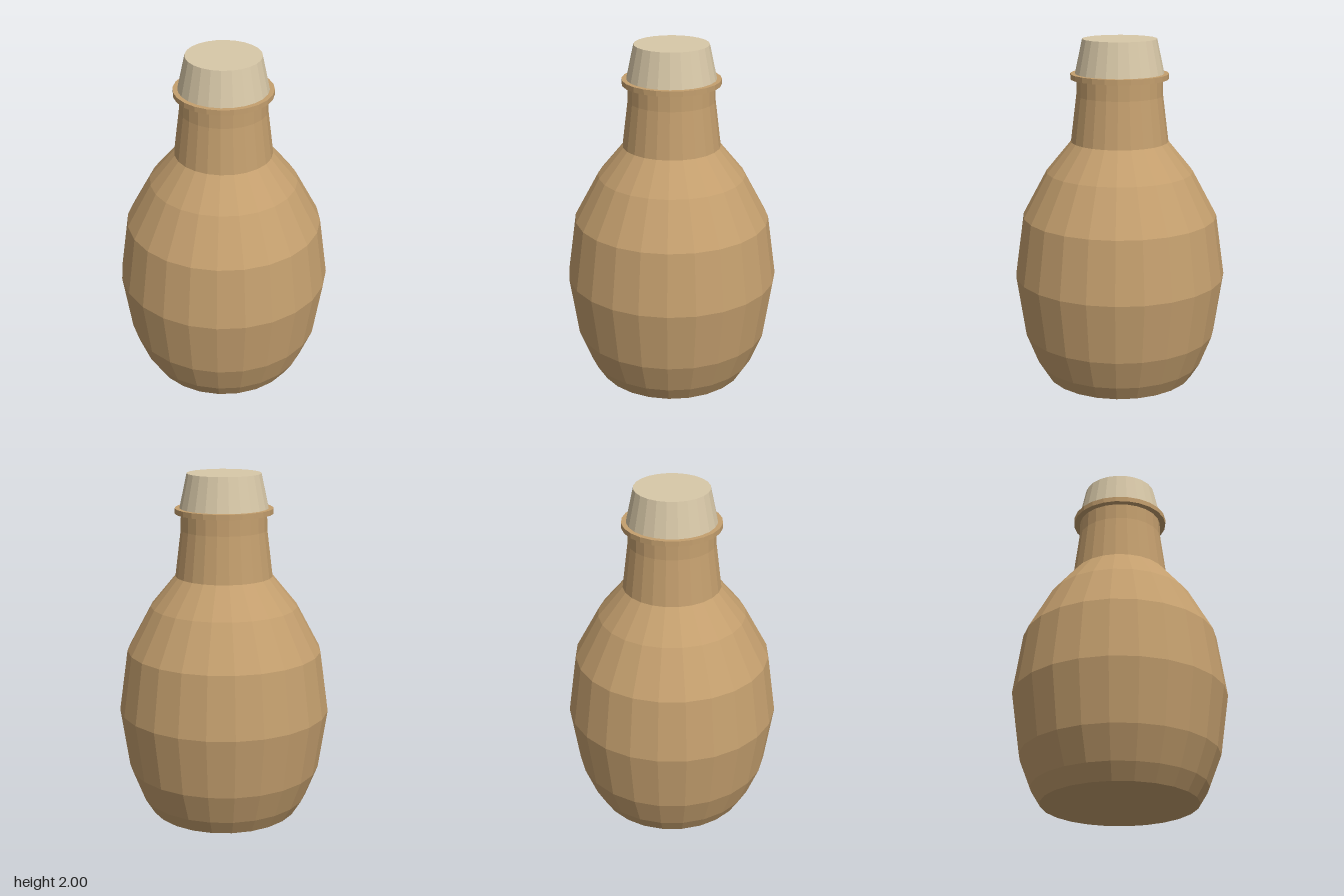
import * as THREE from 'three';

const SIDES = 24;

// Revolves a [radius, height] profile, listed from bottom to top
function turned(name, profile, color) {
  const points = profile.map(([r, y]) => new THREE.Vector2(r, y));
  const material = new THREE.MeshStandardMaterial({ color, flatShading: true });
  const mesh = new THREE.Mesh(new THREE.LatheGeometry(points, SIDES), material);
  mesh.name = name;
  return mesh;
}

export function createModel() {
  const group = new THREE.Group();
  group.name = 'bottle';
  const clay = 0xc49f6e;

  // Closed base, rounded belly, shoulder and neck
  group.add(turned('bottleBody', [
    [0, 0], [0.44, 0], [0.495, 0.09], [0.565, 0.27], [0.616, 0.622],
    [0.565, 0.98], [0.425, 1.24], [0.281, 1.415], [0.248, 1.68], [0.246, 1.775],
  ], clay));

  // Flat collar around the mouth
  group.add(turned('neckRing', [
    [0.246, 1.775], [0.281, 1.775], [0.281, 1.805], [0, 1.805],
  ], clay));

  // Tapered stopper
  group.add(turned('stopper', [
    [0.254, 1.805], [0.212, 2], [0, 2],
  ], 0xd8c8a8));

  return group;
}
